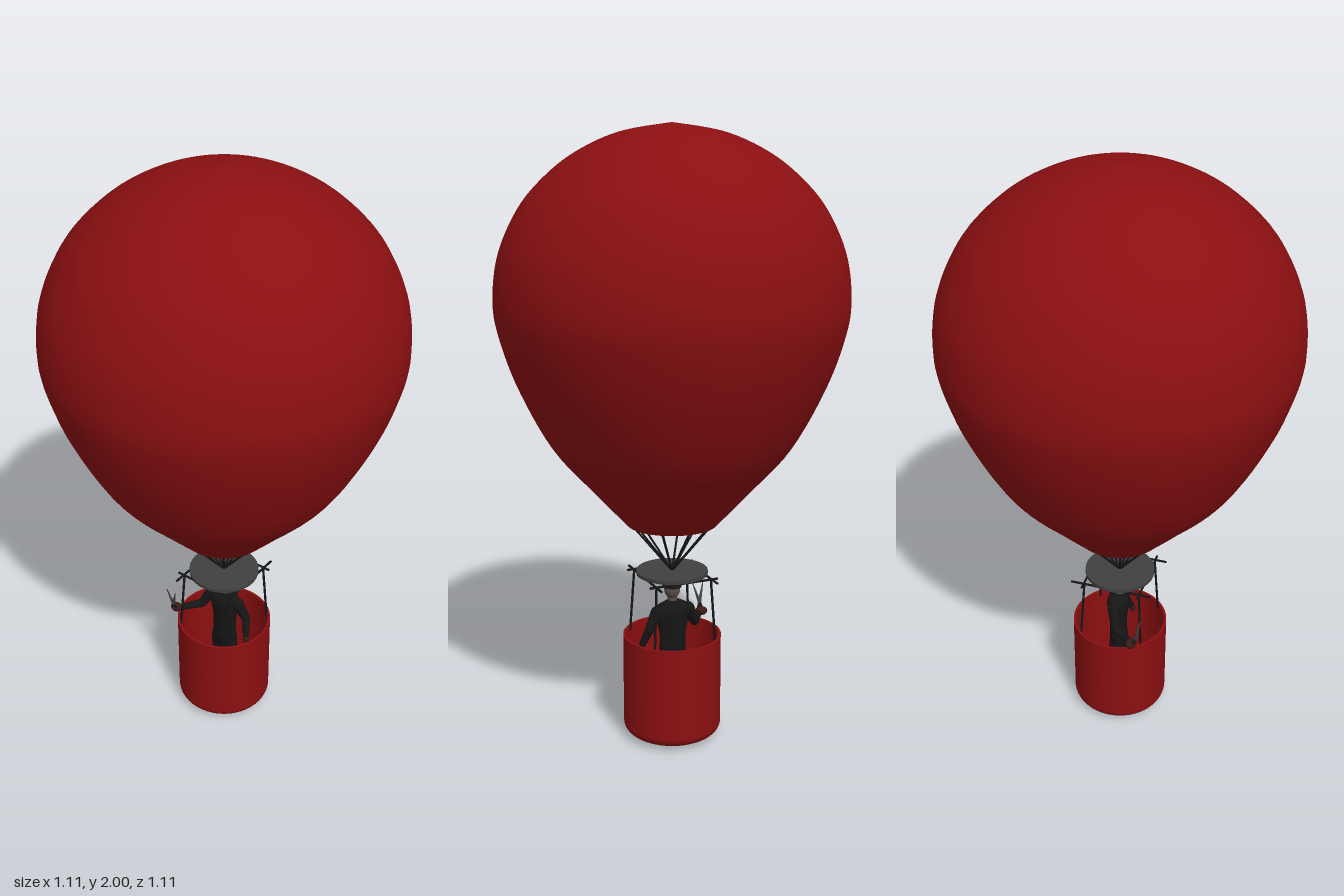
import * as THREE from 'three';

const mat = (name, color, side = THREE.FrontSide) => {
  const m = new THREE.MeshStandardMaterial({ color, side });
  m.name = name;
  return m;
};
const V = (x, y, z) => new THREE.Vector3(x, y, z);

export function createModel() {
  const model = new THREE.Group();
  model.name = 'hotAirBalloon';
  const red = mat('deep red', 0x8b0f11, THREE.DoubleSide);
  const grey = mat('dark grey', 0x404040);
  const black = mat('black', 0x161616);
  const face = mat('shaded skin', 0x5a4c4a);
  const glove = mat('dark brown', 0x3a1a17);

  const add = (parent, name, geometry, material, pos = [0, 0, 0], scale = [1, 1, 1]) => {
    const mesh = new THREE.Mesh(geometry, material);
    mesh.name = name;
    mesh.position.set(...pos);
    mesh.scale.set(...scale);
    parent.add(mesh);
    return mesh;
  };
  // Tapered rod from a to b
  const rod = (parent, name, a, b, ra, rb, material, sides = 6) => {
    const mesh = add(parent, name, new THREE.CylinderGeometry(rb, ra, a.distanceTo(b), sides), material);
    mesh.position.copy(a).lerp(b, 0.5);
    mesh.quaternion.setFromUnitVectors(V(0, 1, 0), b.clone().sub(a).normalize());
    return mesh;
  };
  const profile = (pts) => pts.map(([x, y]) => new THREE.Vector2(x, y));

  // Envelope, open at the mouth
  const curve = new THREE.SplineCurve(profile([
    [0.148, 0.738], [0.255, 0.855], [0.385, 1.005], [0.487, 1.2], [0.541, 1.36], [0.555, 1.47],
    [0.535, 1.61], [0.472, 1.745], [0.39, 1.84], [0.29, 1.915], [0.16, 1.972], [0.0, 2.0],
  ]));
  add(model, 'envelope', new THREE.LatheGeometry(curve.getPoints(60), 72), red);

  // Basket: rounded base, thin wall, rim and inner floor
  const basket = new THREE.Group();
  basket.name = 'basket';
  model.add(basket);
  const base = [[0.0, 0.0], [0.09, 0.003]];
  for (let i = 0; i <= 8; i++) {
    const a = (i / 8) * Math.PI / 2;
    base.push([0.115 + 0.048 * Math.sin(a), 0.045 - 0.037 * Math.cos(a)]);
  }
  add(basket, 'basketShell', new THREE.LatheGeometry(profile([...base, [0.163, 0.355]]), 48), red);
  add(basket, 'basketRim', new THREE.LatheGeometry(profile([[0.163, 0.355], [0.155, 0.355]]), 48), red);
  add(basket, 'basketLining',
    new THREE.LatheGeometry(profile([[0.155, 0.355], [0.155, 0.04]]), 48), red);
  add(basket, 'basketFloor', new THREE.CylinderGeometry(0.155, 0.155, 0.006, 48), red, [0, 0.04, 0]);

  // Disc and the crossed bars below it
  const frame = new THREE.Group();
  frame.name = 'loadFrame';
  model.add(frame);
  add(frame, 'disc', new THREE.CylinderGeometry(0.118, 0.118, 0.012, 40), grey, [0, 0.571, 0]);
  for (const s of [-1, 1]) {
    rod(frame, 'sideBar', V(s * 0.098, 0.56, -0.142), V(s * 0.098, 0.56, 0.138), 0.004, 0.004, black);
    rod(frame, 'crossBar', V(-0.12, 0.56, s * 0.098), V(0.12, 0.56, s * 0.098), 0.004, 0.004, black);
    for (const t of [-1, 1]) {
      rod(frame, 'basketRope', V(s * 0.108, 0.34, t * 0.108), V(s * 0.096, 0.562, t * 0.096), 0.004, 0.004, black);
    }
  }

  // Ropes fanning out to the mouth
  for (let i = 0; i < 10; i++) {
    const a = ((i + 0.5) / 10) * Math.PI * 2;
    rod(model, 'mouthRope', V(0, 0.573, 0),
      V(0.142 * Math.cos(a), 0.745, 0.142 * Math.sin(a)), 0.0035, 0.0035, black);
  }

  // Pilot
  const pilot = new THREE.Group();
  pilot.name = 'pilot';
  model.add(pilot);
  const ball = new THREE.SphereGeometry(1, 20, 14);
  add(pilot, 'torso', new THREE.LatheGeometry(profile([
    [0, 0.22], [0.05, 0.23], [0.046, 0.3], [0.045, 0.35], [0.055, 0.41], [0.062, 0.435],
    [0.052, 0.458], [0.025, 0.472], [0, 0.476],
  ]), 20), black, [0, 0, -0.005], [1, 1, 0.62]);
  add(pilot, 'neck', new THREE.CylinderGeometry(0.015, 0.017, 0.03, 12), face, [0, 0.48, -0.002]);
  add(pilot, 'head', ball, face, [0, 0.51, 0], [0.026, 0.034, 0.029]);
  add(pilot, 'nose', ball, face, [0, 0.506, 0.029], [0.005, 0.007, 0.006]);
  add(pilot, 'cap', new THREE.SphereGeometry(1, 20, 8, 0, Math.PI * 2, 0, Math.PI / 2), black,
    [0, 0.519, -0.001], [0.031, 0.03, 0.033]);
  add(pilot, 'capFront', new THREE.SphereGeometry(1, 16, 6, Math.PI * 0.2, Math.PI * 0.6, 0.5, 0.85), red,
    [0, 0.519, -0.001], [0.0325, 0.0315, 0.0345]);
  add(pilot, 'capPeak', new THREE.CylinderGeometry(0.027, 0.027, 0.004, 20), black, [0, 0.52, 0.012]);
  for (const s of [-1, 1]) {
    rod(pilot, 'leg', V(s * 0.03, 0.04, 0), V(s * 0.024, 0.26, -0.004), 0.018, 0.026, black, 12);
    add(pilot, 'boot', ball, black, [s * 0.03, 0.053, 0.012], [0.018, 0.013, 0.034]);
    add(pilot, 'shoulder', ball, black, [s * 0.056, 0.437, -0.005], [0.021, 0.021, 0.021]);
  }
  const limb = (name, a, b, c) => {
    rod(pilot, name + 'UpperArm', a, b, 0.02, 0.015, black, 12);
    add(pilot, name + 'Elbow', ball, black, b.toArray(), [0.015, 0.015, 0.015]);
    rod(pilot, name + 'Forearm', b, c, 0.015, 0.011, black, 12);
  };
  limb('right', V(-0.058, 0.437, -0.005), V(-0.088, 0.378, 0.012), V(-0.13, 0.378, 0.07));
  limb('left', V(0.058, 0.437, -0.005), V(0.086, 0.384, -0.012), V(0.104, 0.325, 0.01));
  add(pilot, 'leftHand', ball, glove, [0.106, 0.314, 0.014], [0.011, 0.016, 0.012]);
  add(pilot, 'rightHand', ball, glove, [-0.146, 0.38, 0.084], [0.022, 0.015, 0.018]);

  // Open shears held in the right hand
  const pivot = V(-0.147, 0.405, 0.1);
  for (const s of [-1, 1]) {
    rod(pilot, 'shearBlade', pivot, V(-0.146 + s * 0.019, 0.472, 0.112), 0.006, 0.0015, grey);
    rod(pilot, 'shearHandle', V(-0.147 - s * 0.012, 0.376, 0.09), pivot, 0.004, 0.005, black);
  }
  return model;
}
